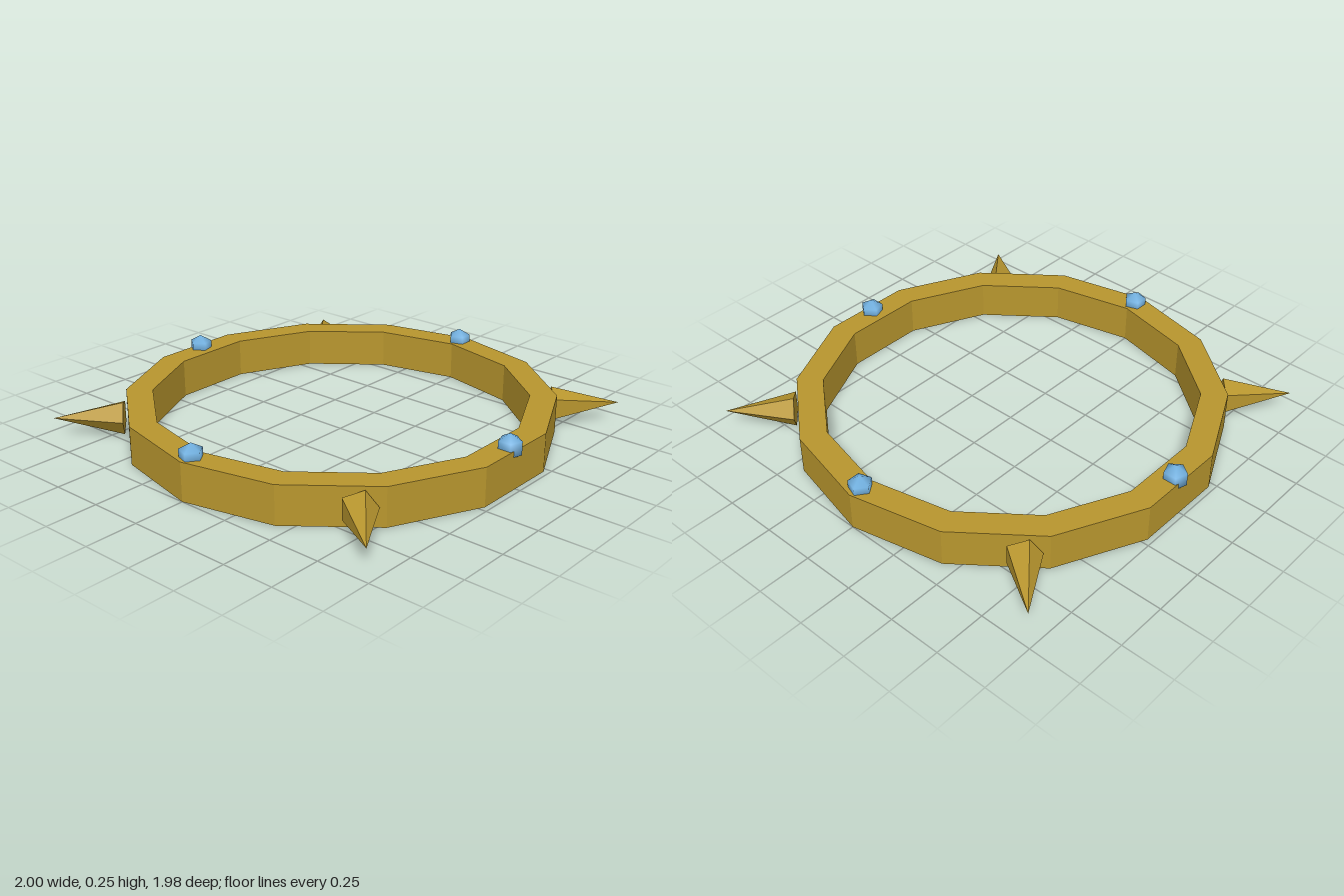
import * as THREE from 'three';

const HEIGHT = 0.182, OUTER = 1, INNER = 0.875;

export function createModel() {
  const model = new THREE.Group();
  const gold = new THREE.MeshStandardMaterial({ color: 0xb8962e, flatShading: true });
  const blue = new THREE.MeshStandardMaterial({ color: 0x74b4e4 });

  // Fourteen-sided band with a rectangular section, corners on the x axis
  const section = [[INNER, 0], [OUTER, 0], [OUTER, HEIGHT], [INNER, HEIGHT], [INNER, 0]]
    .map(([x, y]) => new THREE.Vector2(x, y));
  const band = new THREE.Mesh(new THREE.LatheGeometry(section, 14, Math.PI / 2), gold);
  band.name = 'band';
  model.add(band);

  // Places a part at a distance from the centre, turned to face outward
  function addAround(name, geometry, material, angle, radius, y) {
    const part = new THREE.Mesh(geometry, material);
    part.name = name;
    part.position.set(Math.sin(angle) * radius, y, Math.cos(angle) * radius);
    part.rotation.y = angle;
    model.add(part);
  }

  // Five-sided gem and five-sided spike pointing along +z
  const gem = new THREE.SphereGeometry(0.062, 5, 3, Math.PI);
  const spike = new THREE.ConeGeometry(0.083, 0.322, 5, 1, false, Math.PI / 2);
  spike.rotateX(Math.PI / 2);

  // Gems sit on the rim at the quarters, spikes float just outside between them
  for (let i = 0; i < 4; i++) {
    const angle = i * Math.PI / 2;
    addAround('gem', gem, blue, angle, (OUTER + INNER) / 2, 0.186);
    addAround('spike', spike, gold, angle + Math.PI / 4, 1.159, HEIGHT / 2 + 0.002);
  }
  return model;
}
